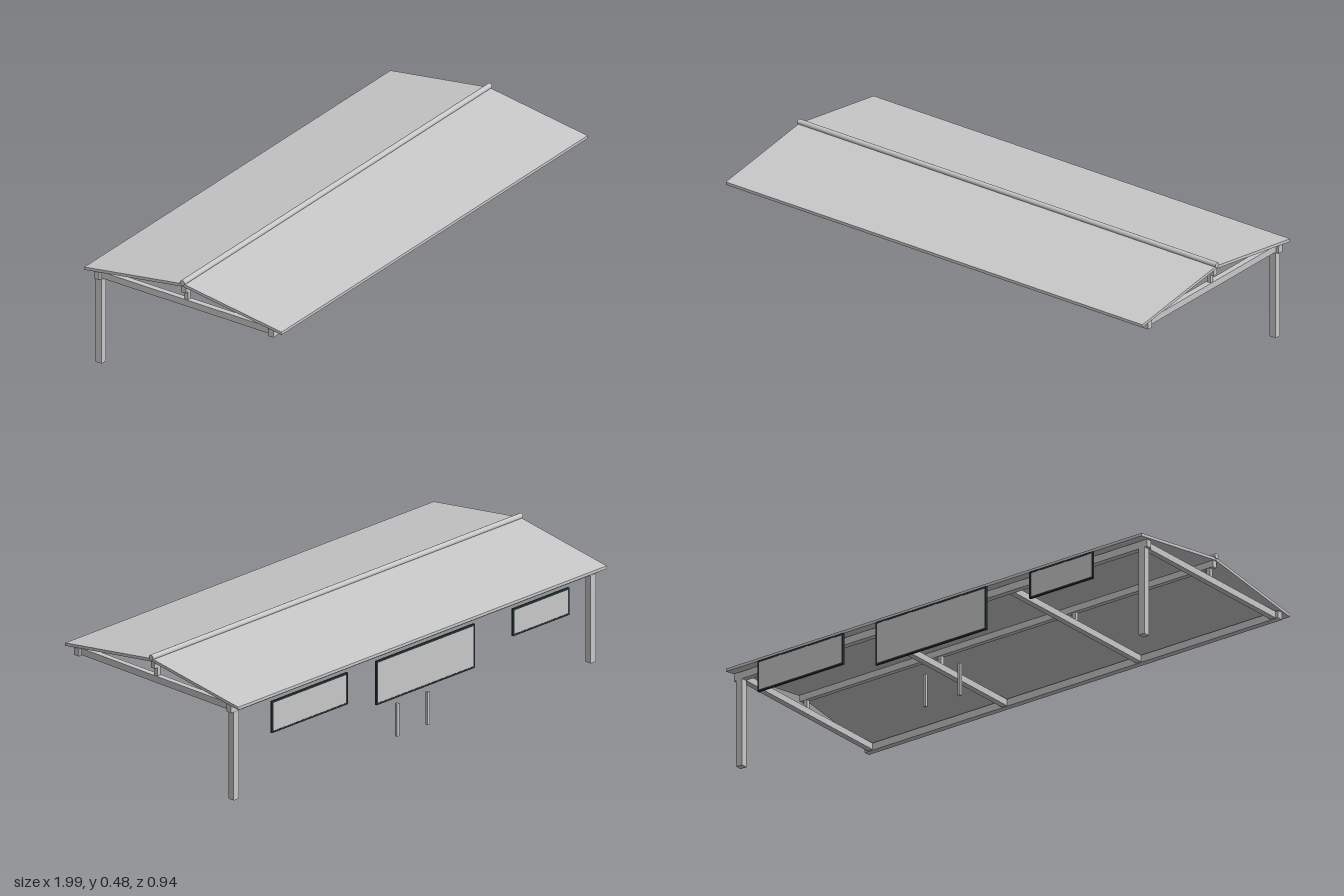
import * as THREE from 'three';

export function createModel() {
  const group = new THREE.Group();
  const grey = new THREE.MeshStandardMaterial({ color: 0xc8c8c8 });
  grey.name = 'lightGrey';
  const dark = new THREE.MeshStandardMaterial({ color: 0x2c3639 });
  dark.name = 'darkFrame';

  const CX = -0.003;     // middle of the length
  const RIDGE_Z = 0.01;  // line of the ridge

  const add = (name, geometry, material, x, y, z) => {
    const mesh = new THREE.Mesh(geometry, material);
    mesh.name = name;
    mesh.position.set(x, y, z);
    group.add(mesh);
    return mesh;
  };
  // Box given by its lower and upper limits on each axis
  const block = (name, material, [x0, x1], [y0, y1], [z0, z1]) =>
    add(name, new THREE.BoxGeometry(x1 - x0, y1 - y0, z1 - z0), material,
      (x0 + x1) / 2, (y0 + y1) / 2, (z0 + z1) / 2);

  // Gabled roof sheet, a chevron drawn across the ridge and extruded along x
  const roofLength = 1.986;
  const chevron = new THREE.Shape([
    [-0.459, 0.386], [0, 0.453], [0.459, 0.386],
    [0.459, 0.398], [0, 0.465], [-0.459, 0.398],
  ].map(([a, b]) => new THREE.Vector2(a, b)));
  const roof = new THREE.ExtrudeGeometry(chevron, { depth: roofLength, bevelEnabled: false });
  roof.translate(0, 0, -roofLength / 2).rotateY(Math.PI / 2);
  add('roof', roof, grey, CX, 0, RIDGE_Z);

  // Round ridge cap
  const cap = new THREE.CylinderGeometry(0.011, 0.011, 1.995, 20).rotateZ(Math.PI / 2);
  add('ridgeCap', cap, grey, CX, 0.47, RIDGE_Z);

  // Long beams under the eaves and the ridge
  const span = [CX - 0.988, CX + 0.988];
  block('frontBeam', grey, span, [0.36, 0.39], [0.402, 0.427]);
  block('rearBeam', grey, span, [0.36, 0.39], [-0.407, -0.383]);
  block('ridgeBeam', grey, span, [0.425, 0.455], [0, 0.02]);

  // Cross ties with king posts
  for (const f of [-1, -1 / 3, 1 / 3, 1]) {
    const x = CX + f * 0.963;
    block('crossTie', grey, [x - 0.012, x + 0.012], [0.363, 0.39], [-0.383, 0.402]);
    block('kingPost', grey, [x - 0.008, x + 0.008], [0.39, 0.425], [0.002, 0.018]);
  }

  // Tall rear posts and the two short ones between them
  for (const side of [-1, 1]) {
    const x = CX + side * 0.962;
    block('post', grey, [x - 0.014, x + 0.014], [0, 0.36], [-0.408, -0.38]);
    const s = CX + side * 0.082;
    block('shortPost', grey, [s - 0.006, s + 0.006], [0, 0.134], [-0.401, -0.389]);
  }

  // Framed hanging panels, all level at the top
  const top = 0.378, rim = 0.007, zFrame = [-0.467, -0.458];
  for (const [x0, x1, y0] of [[-0.777, -0.473, 0.267], [-0.267, 0.262, 0.199], [0.416, 0.826, 0.249]]) {
    block('panel', grey, [x0 + rim, x1 - rim], [y0 + rim, top - rim], [-0.466, -0.459]);
    block('frameBottom', dark, [x0, x1], [y0, y0 + rim], zFrame);
    block('frameTop', dark, [x0, x1], [top - rim, top], zFrame);
    for (const x of [x0, x1 - rim]) {
      block('frameSide', dark, [x, x + rim], [y0 + rim, top - rim], zFrame);
    }
  }

  return group;
}
